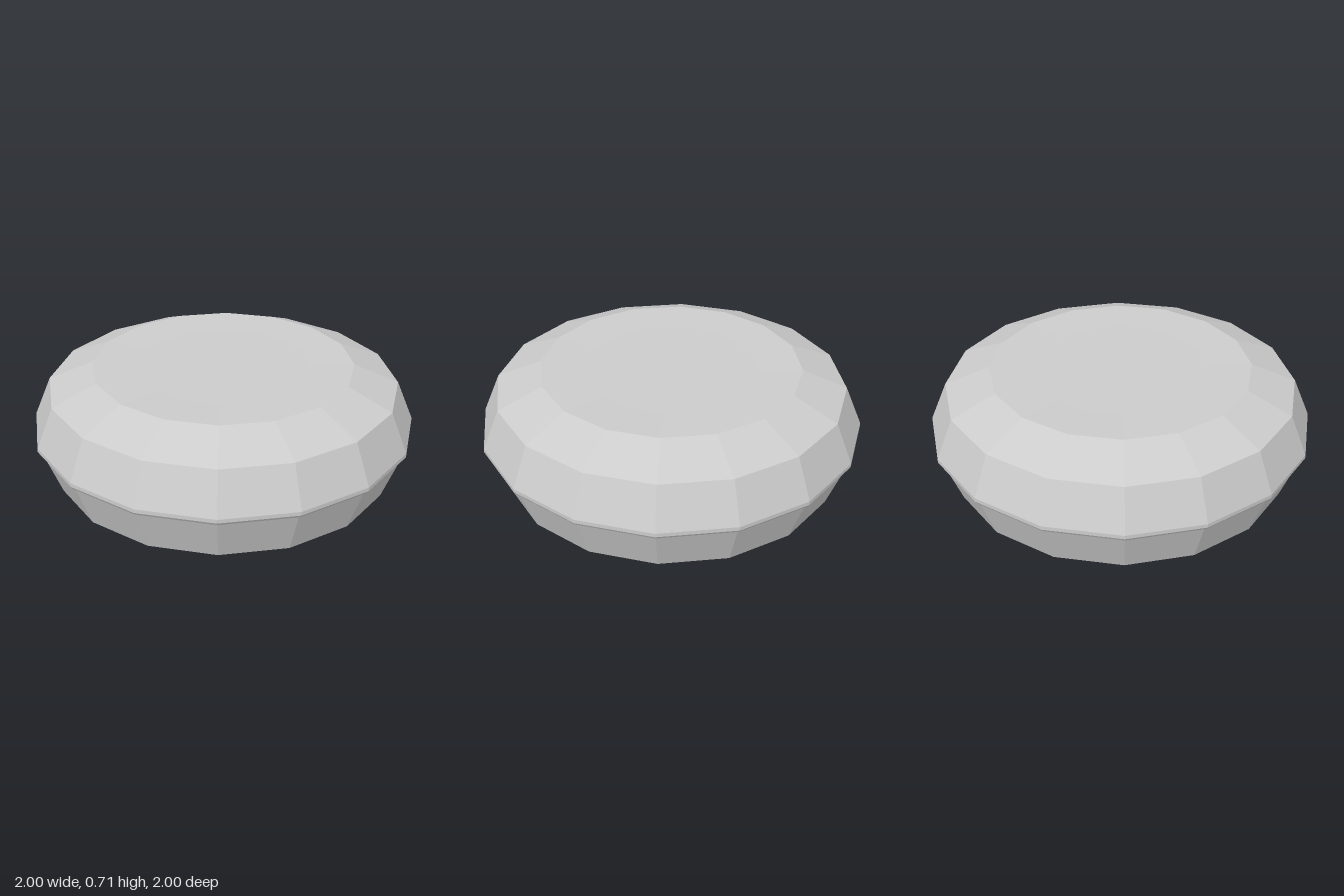
import * as THREE from 'three';

const SIDES = 16;

// Turns a [radius, height] profile, listed from bottom to top, into a faceted ring
function turned(name, profile) {
  const points = profile.map(([r, y]) => new THREE.Vector2(r, y));
  const mesh = new THREE.Mesh(
    new THREE.LatheGeometry(points, SIDES),
    new THREE.MeshStandardMaterial({ color: 0xcccccc, flatShading: true, side: THREE.DoubleSide })
  );
  mesh.name = name;
  return mesh;
}

export function createModel() {
  const group = new THREE.Group();
  group.name = 'facetedDisc';

  // Slightly domed underside, bevel and flaring lower wall
  group.add(turned('lowerShell', [
    [0, 0], [0.45, 0.015], [0.66, 0.035], [0.885, 0.125], [0.975, 0.36],
  ]));

  // Thin lip around the widest part
  group.add(turned('rimBand', [
    [0.975, 0.36], [0.99, 0.365], [1, 0.38], [1, 0.4],
  ]));

  // Upper wall tapering in, bevel and almost flat top
  group.add(turned('upperShell', [
    [1, 0.4], [0.912, 0.61], [0.68, 0.708], [0.45, 0.702], [0, 0.7],
  ]));

  return group;
}
